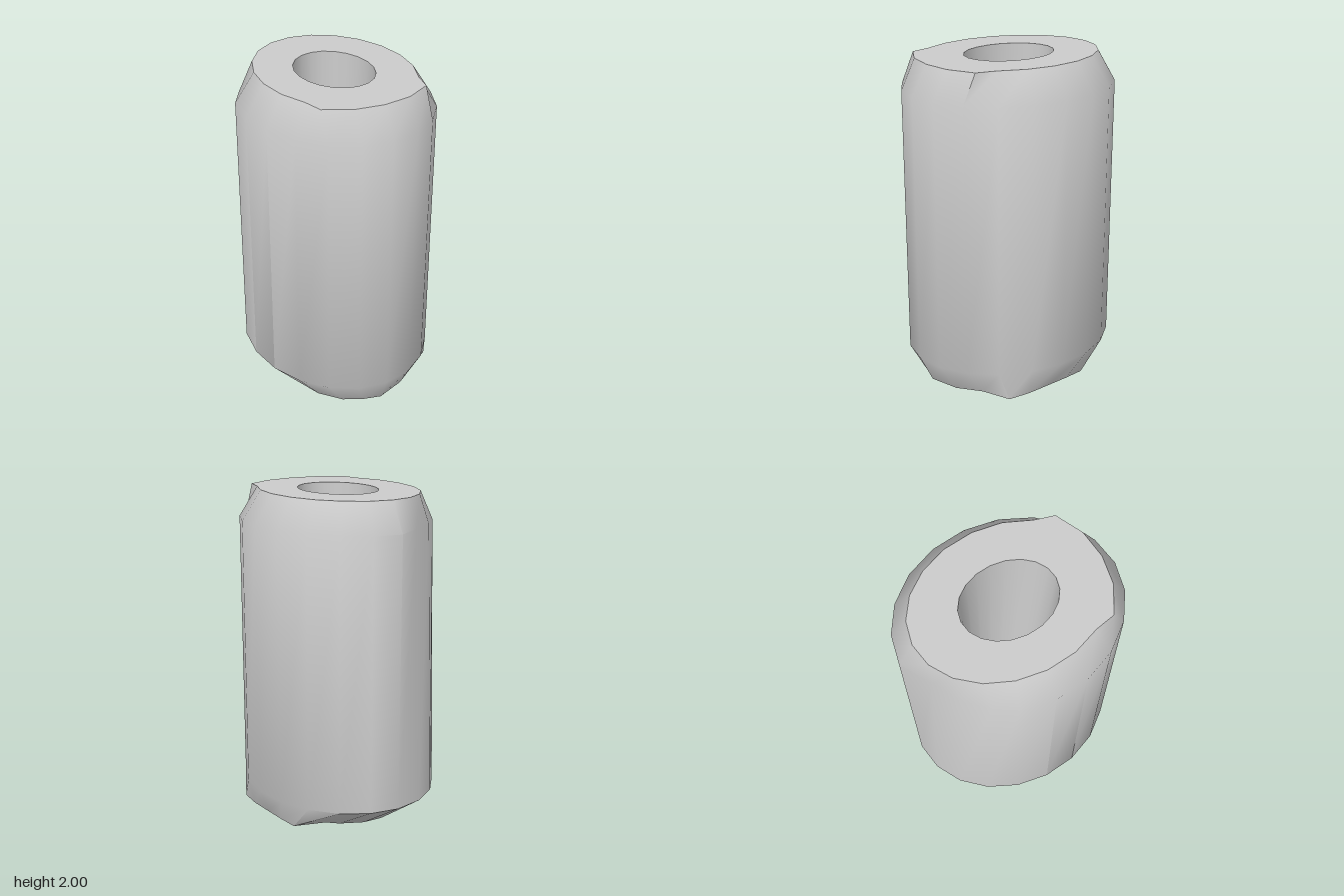
import * as THREE from 'three';
import { toCreasedNormals } from 'three/addons/utils/BufferGeometryUtils.js';

const SIDES = 20;

// Oval loop of [x, y, z] points running from +x towards +z; changes moves single points to a new [x, z].
function ring(y, rx, rz, cx = 0, cz = 0, changes = {}) {
  return Array.from({ length: SIDES }, (_, k) => {
    const a = (k / SIDES) * Math.PI * 2;
    const [x, z] = changes[k] ?? [cx + rx * Math.cos(a), cz + rz * Math.sin(a)];
    return [x, y, z];
  });
}

// Skin neighbouring loops, closing the last one back onto the first.
function skin(rings) {
  const pos = [];
  rings.forEach((upper, i) => {
    const lower = rings[(i + 1) % rings.length];
    for (let k = 0; k < SIDES; k++) {
      const n = (k + 1) % SIDES;
      pos.push(...upper[k], ...upper[n], ...lower[n]);
      pos.push(...upper[k], ...lower[n], ...lower[k]);
    }
  });
  const geo = new THREE.BufferGeometry();
  geo.setAttribute('position', new THREE.Float32BufferAttribute(pos, 3));
  return toCreasedNormals(geo, 0.8);
}

export function createModel() {
  const group = new THREE.Group();
  group.name = 'bead';

  // uneven, chipped outline of the underside
  const underside = [
    [0.49, 0.05], [0.5, 0.2], [0.49, 0.34], [0.32, 0.42], [0.19, 0.53],
    [0.01, 0.59], [-0.1, 0.56], [-0.215, 0.5], [-0.32, 0.375], [-0.375, 0.22],
    [-0.39, 0.05], [-0.36, -0.1], [-0.305, -0.275], [-0.207, -0.37], [-0.054, -0.42],
    [0.073, -0.415], [0.21, -0.35], [0.275, -0.29], [0.465, -0.23], [0.48, -0.1],
  ];

  const rings = [
    // top of the bore
    ring(2, 0.225, 0.287),
    // top face, squared off at the front
    ring(2, 0.45, 0.575, 0, 0, {
      3: [0.335, 0.46], 4: [0.175, 0.545], 5: [0, 0.57], 6: [-0.175, 0.545], 7: [-0.335, 0.46],
    }),
    // upper rim, worn in at the back corner
    ring(1.82, 0.568, 0.67, 0, 0, { 12: [-0.46, -0.335], 13: [-0.335, -0.465], 14: [-0.175, -0.56] }),
    // lower rim
    ring(0.17, 0.568, 0.67),
    // underside
    ring(0, 0, 0, 0, 0, underside),
    // bottom of the bore
    ring(0, 0.19, 0.193, -0.01, -0.04),
  ];

  const body = new THREE.Mesh(skin(rings), new THREE.MeshStandardMaterial({ color: 0xcccccc }));
  body.name = 'beadBody';
  group.add(body);
  return group;
}
